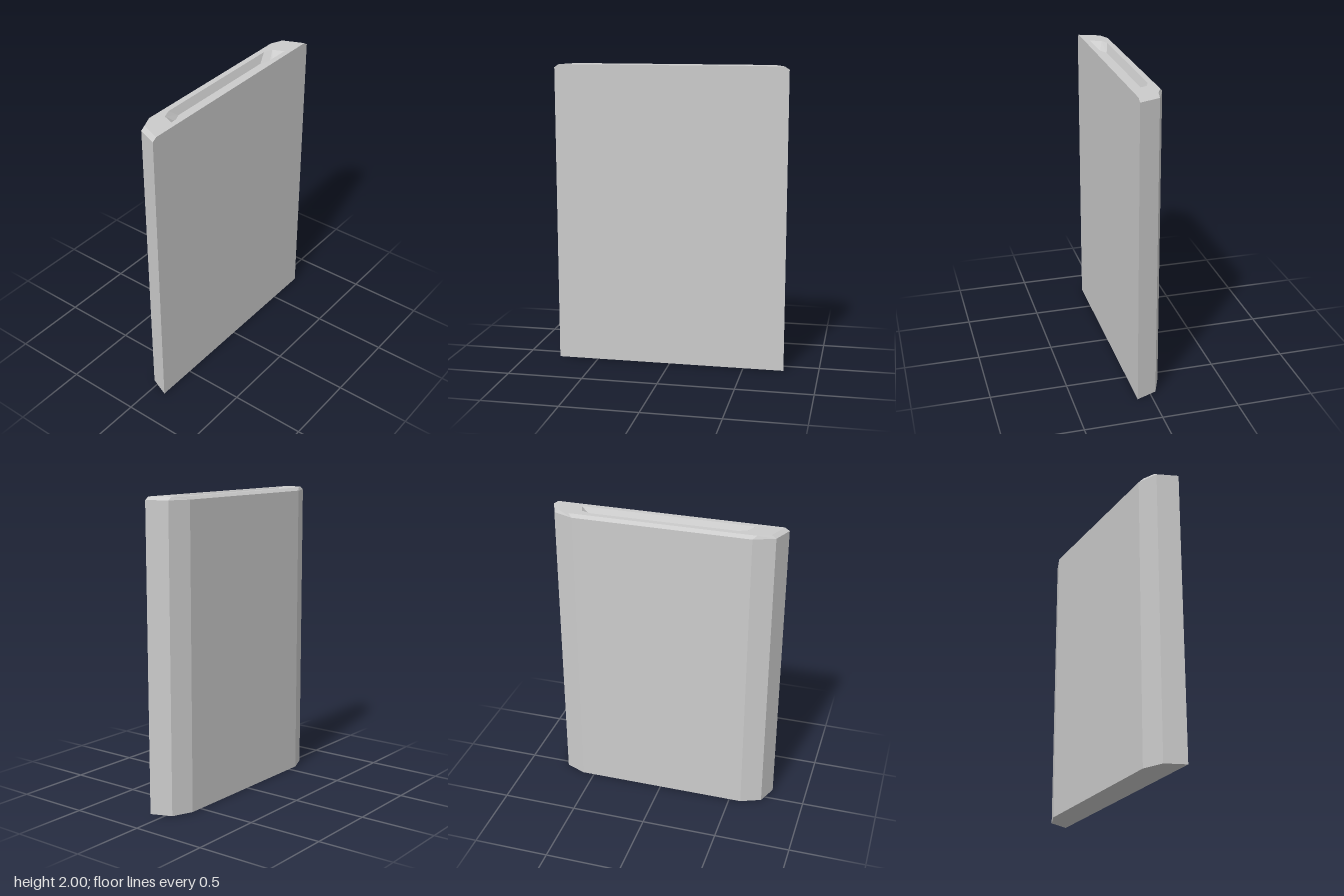
import * as THREE from 'three';

// Mirrors three (x, z) corners into a closed six-sided ring at height y
function ring(y, half) {
  const front = half.map(([x, z]) => [x, y, z]);
  const back = half.map(([x, z]) => [x, y, -z]).reverse();
  return [...front, ...back];
}

// Joins neighbouring rings with quads
function loft(rings) {
  const out = [];
  for (let r = 0; r < rings.length - 1; r++) {
    const a = rings[r], b = rings[r + 1], n = a.length;
    for (let i = 0; i < n; i++) {
      const j = (i + 1) % n;
      out.push(a[i], b[j], a[j], a[i], b[i], b[j]);
    }
  }
  return out;
}

// Fills a convex ring
function cap(points, up) {
  const out = [];
  for (let i = 1; i < points.length - 1; i++) {
    if (up) out.push(points[0], points[i + 1], points[i]);
    else out.push(points[0], points[i], points[i + 1]);
  }
  return out;
}

function part(name, triangles) {
  const geometry = new THREE.BufferGeometry();
  geometry.setAttribute('position', new THREE.Float32BufferAttribute(triangles.flat(), 3));
  geometry.computeVertexNormals();
  const material = new THREE.MeshStandardMaterial({ color: 0xcccccc, flatShading: true });
  const mesh = new THREE.Mesh(geometry, material);
  mesh.name = name;
  return mesh;
}

export function createModel() {
  const outline = [[0.095, 0.77], [-0.04, 0.715], [-0.095, 0.58]];
  const topEdge = [[0.095, 0.74], [-0.04, 0.685], [-0.075, 0.605]];
  const slotRim = [[0.058, 0.565], [-0.015, 0.535], [-0.038, 0.475]];
  const slotBase = [[0.022, 0.49], [0.01, 0.475], [-0.018, 0.41]];

  const bottom = ring(0, outline);
  const shoulder = ring(1.98, outline);
  const top = ring(2, topEdge);
  const rim = ring(2, slotRim);
  const floor = ring(1.95, slotBase);

  const group = new THREE.Group();
  group.name = 'slottedPanel';
  // Slab with bevelled back edges and a chamfered top
  group.add(part('panelBody', [...cap(bottom, false), ...loft([bottom, shoulder, top])]));
  // Flat top surface around the slot
  group.add(part('topSurface', loft([top, rim])));
  // Sloping recess sunk into the top
  group.add(part('topSlot', [...loft([rim, floor]), ...cap(floor, true)]));
  return group;
}
